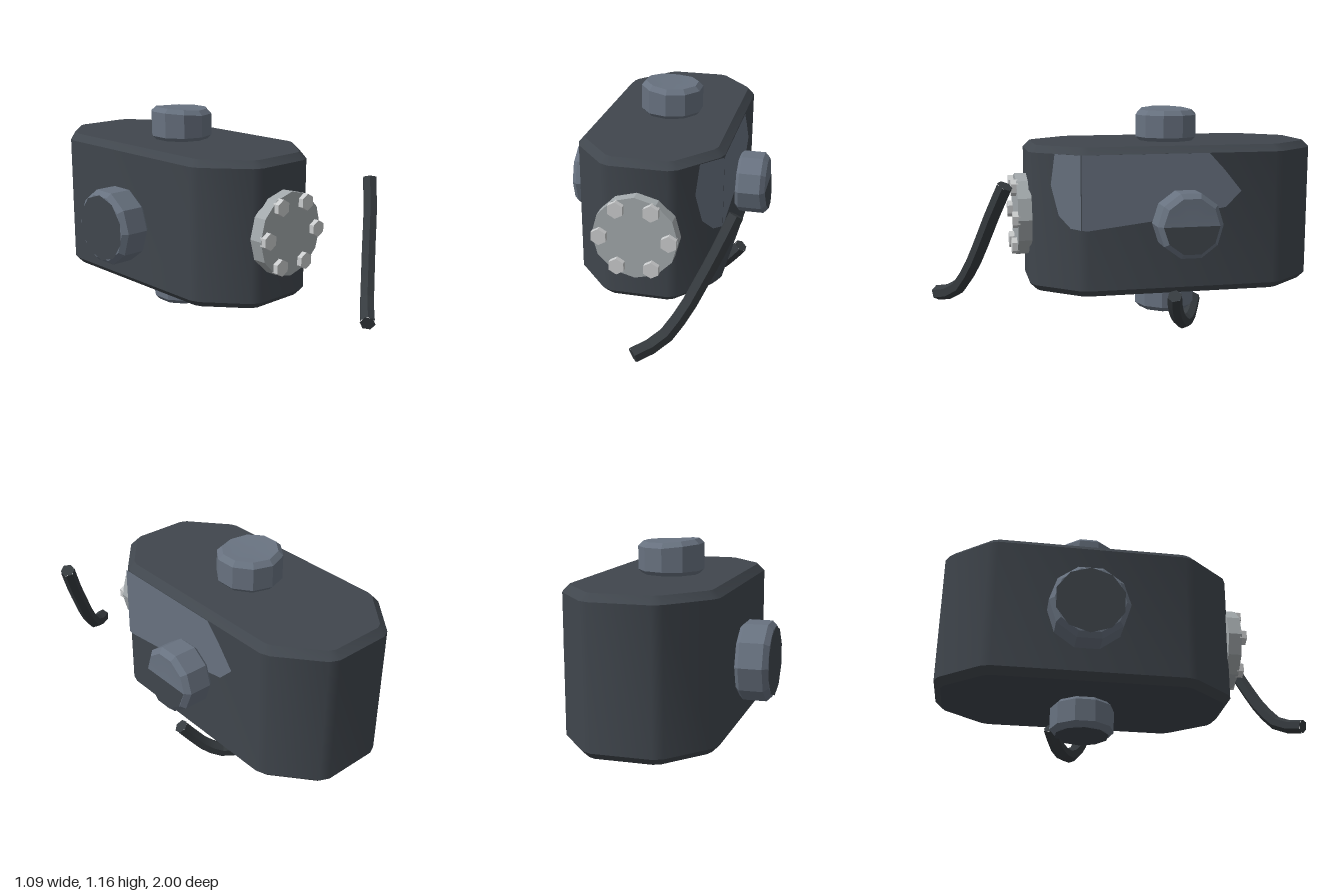
import * as THREE from 'three';
import { toCreasedNormals } from 'three/addons/utils/BufferGeometryUtils.js';

const material = (name, color) => {
  const m = new THREE.MeshStandardMaterial({ color });
  m.name = name;
  return m;
};

export function createModel() {
  const group = new THREE.Group();
  const dark = material('dark armour', 0x40464d);
  const steel = material('blue steel', 0x687280);
  const flangeGrey = material('flange grey', 0xa3a9ac);
  const boltGrey = material('bolt grey', 0xcacccd);
  const rubber = material('hose rubber', 0x363b3f);

  const add = (name, geometry, mat, parent = group) => {
    const mesh = new THREE.Mesh(geometry, mat);
    mesh.name = name;
    parent.add(mesh);
    return mesh;
  };
  const flat = (g) => toCreasedNormals(g, 0.2);

  // Body: elongated octagon, each corner slightly cut, bevelled top and bottom
  const B = 0.035;
  const corners = [[-0.18, -0.5], [0.165, -0.5], [0.365, -0.27], [0.365, 0.77],
    [0.165, 1], [-0.18, 1], [-0.385, 0.77], [-0.385, -0.27]]
    .map(([x, y]) => new THREE.Vector2(x, y));
  const cx = -0.01, cy = 0.25;
  corners.forEach((p) => {
    p.x = cx + (p.x - cx) * (1 - B / 0.375);
    p.y = cy + (p.y - cy) * (1 - B / 0.75);
  });
  const outline = [];
  corners.forEach((p, i) => {
    for (const q of [corners[(i + 7) % 8], corners[(i + 1) % 8]]) {
      outline.push(p.clone().add(q.clone().sub(p).setLength(0.02)));
    }
  });
  const bodyGeo = new THREE.ExtrudeGeometry(new THREE.Shape(outline), {
    depth: 0.75 - 2 * B, bevelThickness: B, bevelSize: B, bevelSegments: 1,
  });
  bodyGeo.rotateX(-Math.PI / 2).translate(0, 0.24 + B, 0);
  add('body', toCreasedNormals(bodyGeo, 0.5), dark);

  // Bare metal patch wrapping from the left side onto the front chamfer
  const plate = (name, points) => add(name, new THREE.ShapeGeometry(
    new THREE.Shape(points.map(([x, y]) => new THREE.Vector2(x, y)))), steel);
  const side = plate('sidePatch', [[-0.265, 0.585], [-0.24, 0.58], [0.1, 0.62], [0.47, 0.68],
    [0.55, 0.76], [0.46, 0.87], [0.38, 0.955], [-0.265, 0.955]]);
  side.rotation.y = Math.PI / 2;
  side.position.x = 0.368;
  const chamfer = plate('chamferPatch', [[0, 0.585], [0, 0.955], [-0.15, 0.955],
    [-0.175, 0.8], [-0.13, 0.65], [-0.06, 0.59]]);
  chamfer.rotation.y = Math.atan2(0.23, 0.2);
  chamfer.position.set(0.368, 0, 0.27);

  // Knobs: ten-sided bevelled plugs along +y, pressed out of true by a rule
  const knob = (name, r, h, skew = 0) => {
    const knobGroup = new THREE.Group();
    knobGroup.name = name;
    group.add(knobGroup);
    const bend = (g) => {
      const p = g.attributes.position;
      for (let i = 0; i < p.count; i++) {
        if (p.getY(i) > h * 0.5) p.setY(i, p.getY(i) + Math.max(0, -p.getX(i)) * skew);
      }
      return g;
    };
    const profile = [[0, -0.02], [r - 0.02, -0.02], [r - 0.02, 0], [r, 0.02],
      [r, h - 0.025], [r - 0.025, h], [0, h]].map(([x, y]) => new THREE.Vector2(x, y));
    add('plug', flat(bend(new THREE.LatheGeometry(profile, 10))), steel, knobGroup);
    return { knobGroup, bend };
  };
  // Dark end face, full or half
  const face = (k, r, h, start, length) => {
    const g = new THREE.CircleGeometry(r, length > 4 ? 10 : 5, start, length);
    g.rotateX(-Math.PI / 2).translate(0, h + 0.003, 0);
    add('endFace', k.bend(g), dark, k.knobGroup);
  };

  const top = knob('topKnob', 0.165, 0.16, 0.1);
  top.knobGroup.position.set(-0.01, 0.99, -0.25);

  const bottom = knob('bottomKnob', 0.165, 0.16);
  bottom.knobGroup.rotation.x = Math.PI;
  bottom.knobGroup.position.set(-0.01, 0.24, -0.25);
  face(bottom, 0.14, 0.16, 0, Math.PI * 2);

  const right = knob('rightKnob', 0.2, 0.162);
  right.knobGroup.rotation.z = Math.PI / 2;
  right.knobGroup.position.set(-0.385, 0.577, -0.275);
  face(right, 0.175, 0.162, 0, Math.PI * 2);

  const left = knob('leftKnob', 0.167, 0.16, 0.1);
  left.knobGroup.rotation.z = -Math.PI / 2;
  left.knobGroup.position.set(0.365, 0.615, -0.25);
  // Local -x points down to world +y here, so flip the pressed half downwards
  left.knobGroup.rotation.set(0, Math.PI, Math.PI / 2);
  face(left, 0.142, 0.16, Math.PI / 2, Math.PI);

  // Front flange with six hexagonal bolts
  const disc = (name, r, sides, z0, z1, x, y, mat) => {
    const g = new THREE.CylinderGeometry(r, r, z1 - z0, sides);
    g.rotateX(Math.PI / 2);
    add(name, flat(g), mat).position.set(x, y, (z0 + z1) / 2);
  };
  disc('frontFlange', 0.215, 12, 0.49, 0.56, -0.01, 0.615, flangeGrey);
  for (let i = 0; i < 6; i++) {
    const a = i * Math.PI / 3;
    disc('bolt', 0.043, 6, 0.55, 0.587,
      -0.01 + 0.174 * Math.cos(a), 0.615 + 0.174 * Math.sin(a), boltGrey);
  }

  // Loose hoses: six-sided tubes with closed ends
  const hose = (name, points, r) => {
    const curve = new THREE.CatmullRomCurve3(points.map((p) => new THREE.Vector3(...p)));
    add(name, flat(new THREE.TubeGeometry(curve, 9, r, 6)), rubber);
    for (const t of [0, 1]) {
      const dir = curve.getTangent(t).multiplyScalar(t ? 1 : -1);
      const cap = add('hoseEnd', new THREE.CircleGeometry(r, 6), rubber);
      cap.position.copy(curve.getPoint(t));
      cap.quaternion.setFromUnitVectors(new THREE.Vector3(0, 0, 1), dir);
    }
  };
  hose('frontHose', [[0.09, 0.238, 0.97], [0.2, 0.28, 0.88], [0.29, 0.4, 0.81],
    [0.36, 0.54, 0.755], [0.42, 0.67, 0.71], [0.49, 0.835, 0.645]], 0.038);
  hose('lowerHose', [[0.4, 0.238, -0.2], [0.34, 0.16, -0.22], [0.27, 0.08, -0.26],
    [0.19, 0.039, -0.31], [0.11, 0.055, -0.36], [0.03, 0.13, -0.405]], 0.038);

  return group;
}
